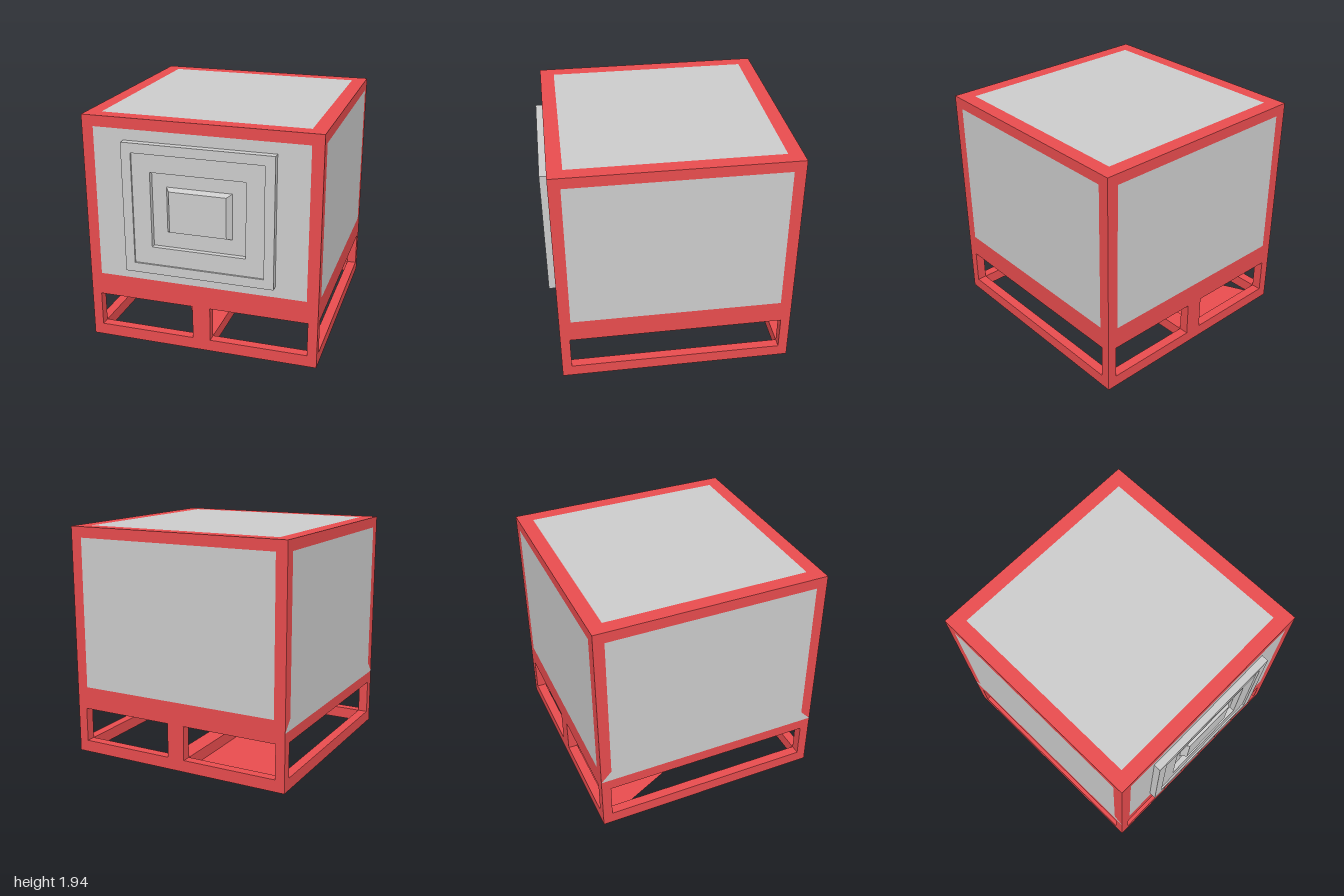
import * as THREE from 'three';

const W = 0.97, Z0 = -1, Z1 = 0.94, ZC = -0.03;   // outer half width, back, front, middle depth
const FLOOR = 0.39, TOP = 1.94, RAIL = 0.1, POST = 0.08;

export function createModel() {
  const model = new THREE.Group();
  const red = new THREE.MeshStandardMaterial({ color: 0xe84c4e });
  const redThin = new THREE.MeshStandardMaterial({ color: 0xe84c4e, side: THREE.DoubleSide });
  const grey = new THREE.MeshStandardMaterial({ color: 0xcccccc });

  const add = (parent, name, geometry, material) => {
    const mesh = new THREE.Mesh(geometry, material);
    mesh.name = name;
    parent.add(mesh);
    return mesh;
  };
  const box = (name, x0, x1, y0, y1, z0, z1) =>
    add(model, name, new THREE.BoxGeometry(x1 - x0, y1 - y0, z1 - z0), red)
      .position.set((x0 + x1) / 2, (y0 + y1) / 2, (z0 + z1) / 2);
  const rect = (x0, x1, y0, y1) => [[x0, y0], [x1, y0], [x1, y1], [x0, y1]];
  const points = (list) => list.map(([x, y]) => new THREE.Vector2(x, y));
  const holed = (outer, inner) => {
    const shape = new THREE.Shape(points(outer));
    shape.holes.push(new THREE.Path(points(inner)));
    return shape;
  };

  // One side of the crate: red border with a flush grey panel
  const crateSide = (name, outer, panel) => {
    const side = new THREE.Group();
    side.name = name;
    add(side, name + 'Border', new THREE.ShapeGeometry(holed(outer, panel)), red);
    add(side, name + 'Panel', new THREE.ShapeGeometry(new THREE.Shape(points(panel))), grey);
    model.add(side);
    return side;
  };
  const wall = rect(-W, W, FLOOR, TOP);
  const panel = rect(-0.875, 0.875, 0.58, 1.85);

  crateSide('front', wall, panel).position.z = Z1;

  const back = crateSide('back', wall, panel);
  back.rotation.y = Math.PI;
  back.position.z = Z0;

  const left = crateSide('leftSide', wall, panel);
  left.rotation.y = Math.PI / 2;
  left.position.set(W, 0, ZC);

  // The right panel flares out to the corners at its foot
  const flared = [[-0.969, 0.485], [0.969, 0.485], [0.88, 0.58], [0.88, 1.85], [-0.88, 1.85], [-0.88, 0.58]];
  const right = crateSide('rightSide', wall, flared);
  right.rotation.y = -Math.PI / 2;
  right.position.set(-W, 0, ZC);

  const lid = crateSide('lid', rect(-W, W, -W, W), rect(-0.85, 0.85, -0.85, 0.85));
  lid.rotation.x = -Math.PI / 2;
  lid.position.set(0, TOP, ZC);

  const floor = add(model, 'crateFloor', new THREE.PlaneGeometry(2 * W, 2 * W), redThin);
  floor.rotation.x = Math.PI / 2;
  floor.position.set(0, FLOOR, ZC);

  // Stepped plate on the front
  const ring = (name, w, h, holeW, holeH, depth) =>
    add(model, name, new THREE.ExtrudeGeometry(
      holed(rect(-w, w, -h, h), rect(-holeW, holeW, -holeH, holeH)),
      { depth, bevelEnabled: false }), grey).position.set(0, 1.215, Z1);
  ring('plateRim', 0.62, 0.545, 0.54, 0.465, 0.06);
  ring('plateStep', 0.54, 0.465, 0.39, 0.315, 0.045);

  // Tapered block in the middle of the plate
  const block = new THREE.BoxGeometry(0.54, 0.38, 0.05);
  const p = block.attributes.position;
  for (let i = 0; i < p.count; i++) {
    if (p.getZ(i) > 0) p.setXY(i, p.getX(i) * 0.87, p.getY(i) * 0.895);
  }
  block.computeVertexNormals();
  add(model, 'plateBlock', block, grey).position.set(0, 1.218, Z1 + 0.025);

  // Skid base: rails, posts and centre beam
  for (const [name, z0, z1] of [['front', Z1 - POST, Z1], ['back', Z0, Z0 + POST]]) {
    box(name + 'Rail', -W, W, 0, RAIL, z0, z1);
    box(name + 'LeftPost', W - POST, W, RAIL, FLOOR, z0, z1);
    box(name + 'RightPost', -W, POST - W, RAIL, FLOOR, z0, z1);
    box(name + 'MiddlePost', -0.075, 0.075, RAIL, FLOOR, z0, z1);
  }
  box('leftRail', W - POST, W, 0, RAIL, Z0 + POST, Z1 - POST);
  box('rightRail', -W, POST - W, 0, RAIL, Z0 + POST, Z1 - POST);
  box('centreBeam', -0.075, 0.075, 0, RAIL, Z0 + POST, Z1 - POST);

  // Triangular sheet closing half of the right bay
  const sheet = add(model, 'baseSheet', new THREE.ShapeGeometry(
    new THREE.Shape(points([[-0.95, -0.98], [-0.03, -0.98], [-0.03, 0.9]]))), redThin);
  sheet.rotation.x = Math.PI / 2;
  sheet.position.y = 0.002;

  return model;
}
